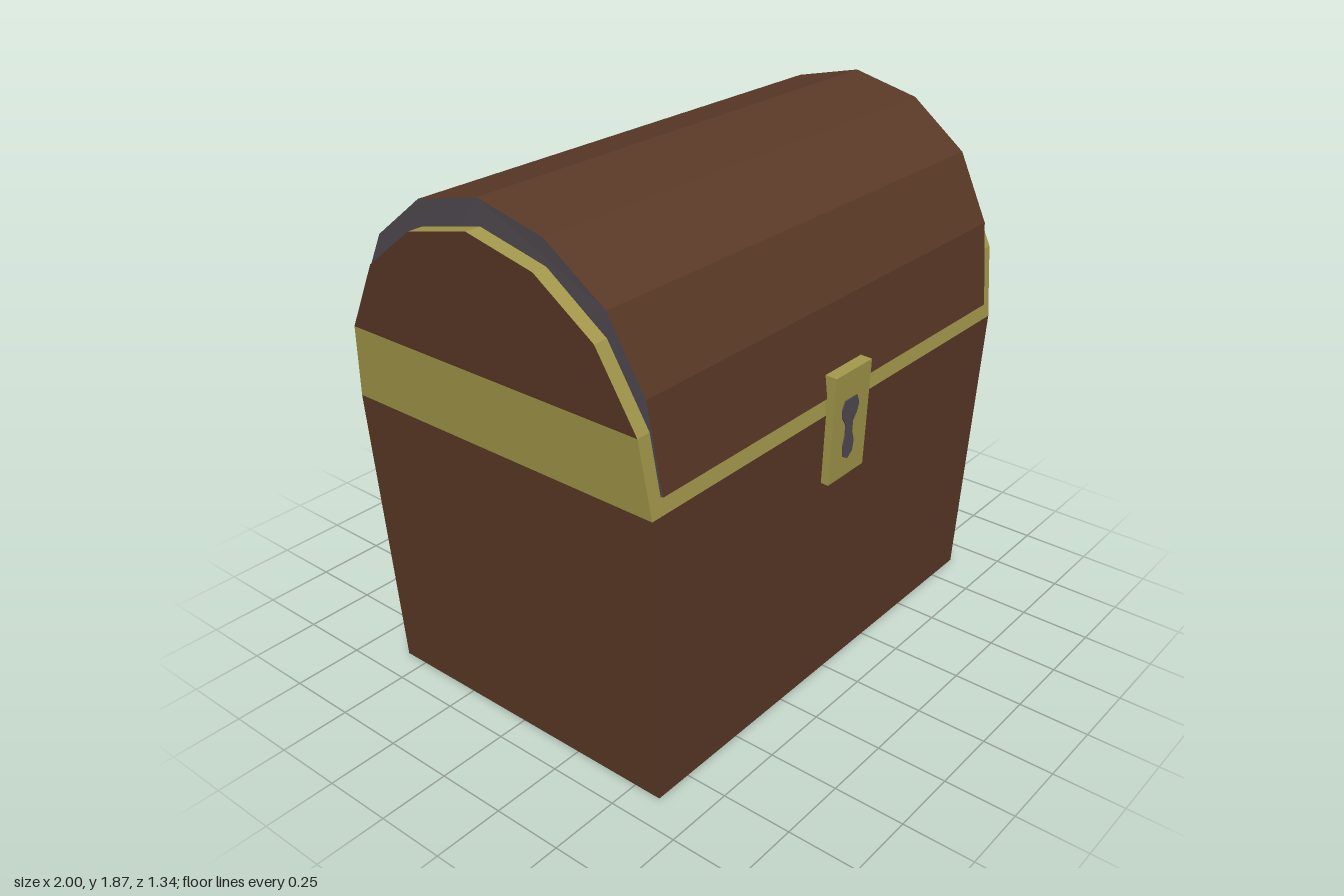
import * as THREE from 'three';

const flat = (name, color) => {
  const m = new THREE.MeshStandardMaterial({ color });
  m.name = name;
  return m;
};

// Extrudes a (z, y) outline along x; the half width varies with height.
function slab(name, points, halfWidth, endMaterial, sideMaterial) {
  const shape = new THREE.Shape(points.map(([z, y]) => new THREE.Vector2(-z, y)));
  const geo = new THREE.ExtrudeGeometry(shape, { depth: 2, bevelEnabled: false });
  geo.translate(0, 0, -1).rotateY(Math.PI / 2);
  const p = geo.attributes.position;
  for (let i = 0; i < p.count; i++) p.setX(i, p.getX(i) * halfWidth(p.getY(i)));
  geo.computeVertexNormals();
  const mesh = new THREE.Mesh(geo, [endMaterial, sideMaterial]);
  mesh.name = name;
  return mesh;
}

export function createModel() {
  const wood = flat('brown wood', 0x5a3926);
  const gold = flat('dull gold', 0xa4984b);
  const iron = flat('dark iron', 0x524c52);
  const steel = flat('hinge grey', 0x77757a);
  const chest = new THREE.Group();
  chest.name = 'chest';

  // Tapered body
  chest.add(slab('body', [[0.6, 0], [0.635, 1.05], [-0.625, 1.05], [-0.59, 0]],
    y => 0.89 + 0.055 * y / 1.05, wood, wood));

  // Gold trim core of the lid, flaring outwards at the ends
  const coreWidth = y => 0.945 + 0.055 * (y - 1.05) / 0.725;
  chest.add(slab('lidTrim', [[0.635, 1.05], [0.603, 1.31], [-0.598, 1.31], [-0.625, 1.05]],
    coreWidth, gold, gold));
  chest.add(slab('lidEnds', [[0.603, 1.31], [0.47, 1.56], [0.26, 1.718], [0.005, 1.777],
    [-0.25, 1.718], [-0.46, 1.56], [-0.598, 1.31]], coreWidth, wood, gold));

  // Wooden shell over the core, with dark edges
  chest.add(slab('lidShell', [[0.637, 1.11], [0.598, 1.41], [0.475, 1.645], [0.26, 1.805],
    [0.005, 1.865], [-0.25, 1.805], [-0.46, 1.645], [-0.592, 1.41], [-0.628, 1.11]],
    y => 0.9 + 0.05 * Math.min(1, (y - 1.11) / 0.7), iron, wood));

  // Lock plate with keyhole, leaning slightly forward
  const lock = new THREE.Group();
  lock.name = 'lock';
  const plate = new THREE.Mesh(new THREE.BoxGeometry(0.2, 0.39, 0.045), gold);
  plate.name = 'lockPlate';
  const outline = [[-0.042, 0.095], [0.025, 0.095], [0.04, 0.06], [0.03, 0.03], [0.012, 0.005],
    [0.012, -0.035], [0.026, -0.07], [0.022, -0.11], [-0.005, -0.13], [-0.03, -0.115],
    [-0.036, -0.075], [-0.026, -0.03], [-0.03, 0.005], [-0.05, 0.035], [-0.055, 0.065]];
  const keyhole = new THREE.Mesh(new THREE.ExtrudeGeometry(
    new THREE.Shape(outline.map(([x, y]) => new THREE.Vector2(x, y))),
    { depth: 0.004, bevelEnabled: false }), iron);
  keyhole.name = 'keyhole';
  keyhole.position.z = 0.0225;
  lock.add(plate, keyhole);
  lock.position.set(0, 0.995, 0.64);
  lock.rotation.x = 0.038;
  chest.add(lock);

  // Six-sided hinges at the back
  const hingeGeo = new THREE.CylinderGeometry(0.038, 0.038, 0.367, 6).toNonIndexed();
  hingeGeo.rotateZ(Math.PI / 2);
  hingeGeo.computeVertexNormals();
  for (const x of [-0.552, 0.503]) {
    const hinge = new THREE.Mesh(hingeGeo, steel);
    hinge.name = x < 0 ? 'hingeRight' : 'hingeLeft';
    hinge.position.set(x, 1.11, -0.63);
    chest.add(hinge);
  }
  return chest;
}
